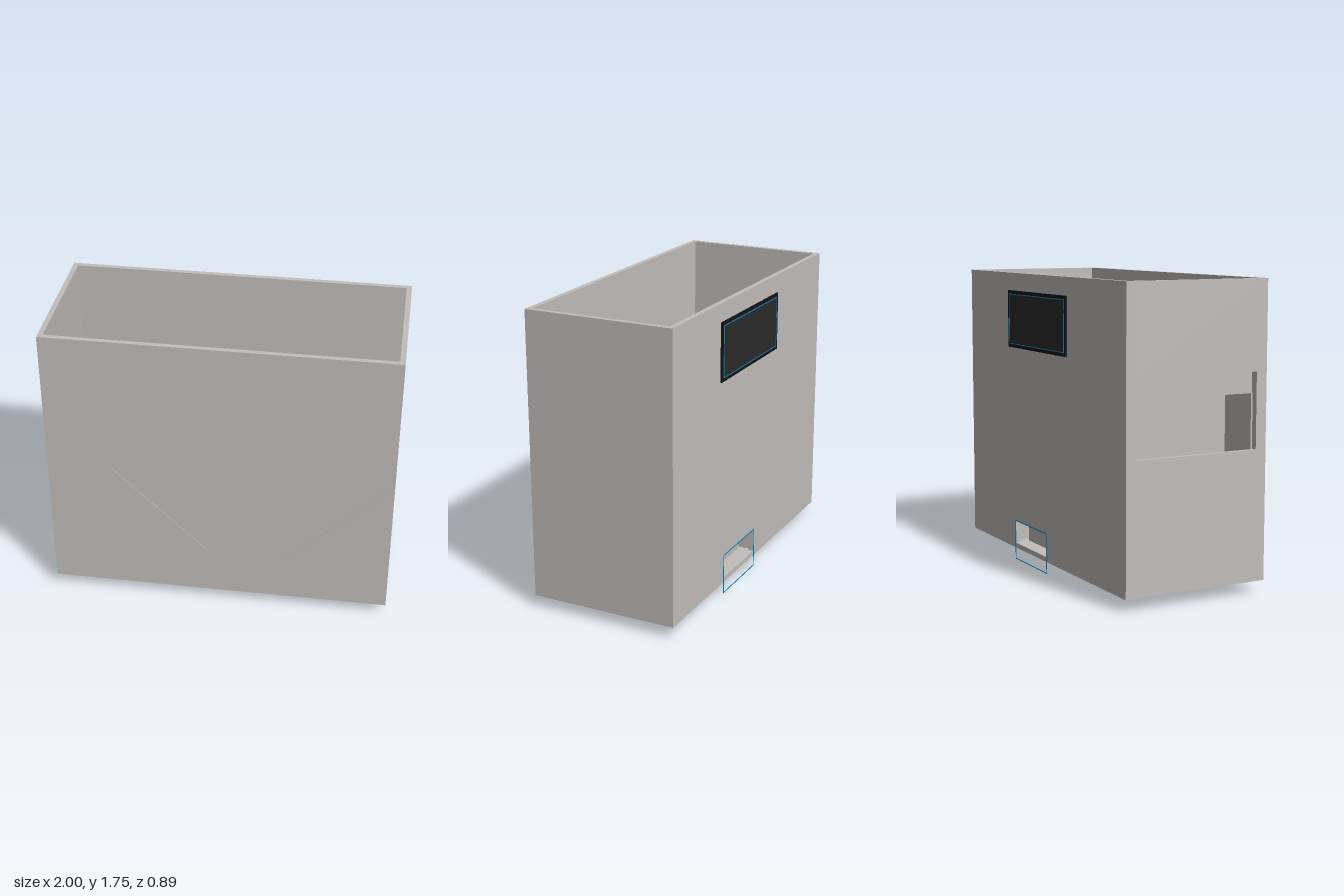
import * as THREE from 'three';

const mat = (name, color) => {
  const m = new THREE.MeshStandardMaterial({ color });
  m.name = name;
  return m;
};

// Closed shape or path from [x, y] points
const trace = (pts, Type = THREE.Shape) => new Type(pts.map(([x, y]) => new THREE.Vector2(x, y)));
const rect = (x0, x1, y0, y1, Type) => trace([[x0, y0], [x1, y0], [x1, y1], [x0, y1]], Type);
const extrude = (shape, depth) =>
  new THREE.ExtrudeGeometry(shape, { depth, bevelEnabled: false, curveSegments: 24 });

export function createModel() {
  const grey = mat('warm grey', 0xc2bebb);
  const black = mat('bezel black', 0x141414);
  const charcoal = mat('screen charcoal', 0x2a2a2a);
  const blue = mat('trim blue', 0x0a86bd);

  const model = new THREE.Group();
  model.name = 'dispenser';

  const add = (parent, name, geometry, material = grey) => {
    const mesh = new THREE.Mesh(geometry, material);
    mesh.name = name;
    parent.add(mesh);
    return mesh;
  };
  // Box from its limits on each axis
  const box = (parent, name, x0, x1, y0, y1, z0, z1, material) => {
    const mesh = add(parent, name, new THREE.BoxGeometry(x1 - x0, y1 - y0, z1 - z0), material);
    mesh.position.set((x0 + x1) / 2, (y0 + y1) / 2, (z0 + z1) / 2);
    return mesh;
  };
  // Rectangular outline of four thin bars facing the back
  const outline = (name, x0, x1, y0, y1, z0, z1, t) => {
    const group = new THREE.Group();
    group.name = name;
    box(group, 'lowerTrim', x0, x1, y0, y0 + t, z0, z1, blue);
    box(group, 'upperTrim', x0, x1, y1 - t, y1, z0, z1, blue);
    box(group, 'rightTrim', x0, x0 + t, y0 + t, y1 - t, z0, z1, blue);
    box(group, 'leftTrim', x1 - t, x1, y0 + t, y1 - t, z0, z1, blue);
    model.add(group);
  };

  // Open-topped case
  const B = 0.07, T = 1.745, Z0 = -0.435, Z1 = 0.445, W = 0.03;
  const case_ = new THREE.Group();
  case_.name = 'case';
  model.add(case_);
  box(case_, 'floor', -1 + W, 1 - W, B, B + W, Z0 + W, Z1 - W);
  box(case_, 'frontWall', -1, 1, B, T, Z1 - W, Z1);
  box(case_, 'leftWall', 1 - W, 1, B, T, Z0 + W, Z1 - W);

  const back = rect(-1, 1, B, T);
  back.holes.push(rect(-0.05, 0.37, B + W, 0.24, THREE.Path));
  add(case_, 'backWall', extrude(back, W)).position.z = Z0;

  const side = rect(Z0 + W, Z1 - W, B, T);
  side.holes.push(rect(-0.37, 0.38, 0.81, 1.24, THREE.Path));
  add(case_, 'rightWall', extrude(side, W).rotateY(-Math.PI / 2)).position.x = -1 + W;

  // Collecting hopper: two bent plates around the outlet
  const t = 0.012;
  const bent = (s, edge, neck) => trace([
    [edge, 0.91], [neck, 0.35], [neck, 0.11], [neck + s * t, 0.11],
    [neck + s * t, 0.35 - t * 0.4], [edge, 0.91 - t * 1.4],
  ]);
  const depth = Z1 + 0.003 - (Z0 + W);
  add(model, 'rightHopperPlate', extrude(bent(-1, -0.625, -0.05), depth)).position.z = Z0 + W;
  add(model, 'leftHopperPlate', extrude(bent(1, 0.962, 0.385), depth)).position.z = Z0 + W;
  box(model, 'hopperDivider', -0.64, -0.625, B + W, 1.12, Z0 + W, Z1 - W);
  box(model, 'outletBackPlate', -0.05, 0.385, B + W, 0.32, -0.34, -0.325);

  // Tapered cheeks beside the side window
  for (const z of [-0.375, 0.365]) {
    const cheek = trace([[-0.97, 0.81], [-0.93, 0.81], [-0.95, 0.96], [-0.965, 1.12], [-0.97, 1.12]]);
    add(model, 'windowCheek', extrude(cheek, 0.01)).position.z = z;
  }

  // Carrier deck with three round wells
  const deckY = 1.12, deckTop = 1.24, R = 0.222;
  const centres = [-0.38, 0.14, 0.66];
  const deck = rect(-0.97, 0.965, -0.37, 0.37);
  for (const x of centres) deck.holes.push(new THREE.Path().absarc(x, 0, R, 0, Math.PI * 2, true));
  add(model, 'deck', extrude(deck, deckTop - deckY).rotateX(-Math.PI / 2)).position.y = deckY;

  // Wedge-shaped pocket outline at an angle
  const pocket = (a) => {
    const at = (r, d) => [r * Math.cos(a + d), r * Math.sin(a + d)];
    return trace([at(0.095, -0.26), at(0.178, -0.27), at(0.182, 0), at(0.178, 0.27), at(0.095, 0.26)], THREE.Path);
  };
  const disc = (r, holes) => {
    const s = new THREE.Shape().absarc(0, 0, r, 0, Math.PI * 2, false);
    s.holes.push(...holes);
    return s;
  };
  const angles = Array.from({ length: 9 }, (_, i) => (i * Math.PI * 2) / 9);
  const flat = (shape, h) => extrude(shape, h).rotateX(-Math.PI / 2);

  // Carousels with nine pockets, a square hub and pellets
  centres.forEach((x, i) => {
    const wheel = new THREE.Group();
    wheel.name = 'carousel';
    wheel.position.set(x, deckY, 0);
    model.add(wheel);
    add(wheel, 'carouselBase', flat(disc(R, [pocket(0)]), 0.015));
    const bore = new THREE.Path().absarc(0, 0, 0.212, 0, Math.PI * 2, true);
    add(wheel, 'carouselRim', flat(disc(R, [bore]), 0.11)).position.y = 0.015;
    add(wheel, 'pocketWheel', flat(disc(0.203, angles.map(pocket)), 0.08)).position.y = 0.018;
    box(wheel, 'hub', -0.083, 0.083, 0.09, 0.14, -0.083, 0.083);
    angles.forEach((a, k) => {
      if (k === 0 && i < 2) return;
      const pellet = add(wheel, 'pellet', new THREE.CylinderGeometry(0.026, 0.026, 0.05, 16));
      pellet.position.set(0.134 * Math.cos(a), 0.04, 0.134 * Math.sin(a));
    });
  });

  // Screen on the back
  box(model, 'screenBezel', -0.33, 0.43, 1.3, 1.64, -0.444, Z0, black);
  box(model, 'screen', -0.305, 0.405, 1.325, 1.615, -0.4455, -0.444, charcoal);
  outline('screenTrim', -0.31, 0.41, 1.32, 1.62, -0.447, -0.444, 0.005);

  // Outlet trim reaching down to the ground
  outline('outletTrim', -0.06, 0.37, 0, 0.243, Z0 - 0.002, Z0, 0.006);

  return model;
}
